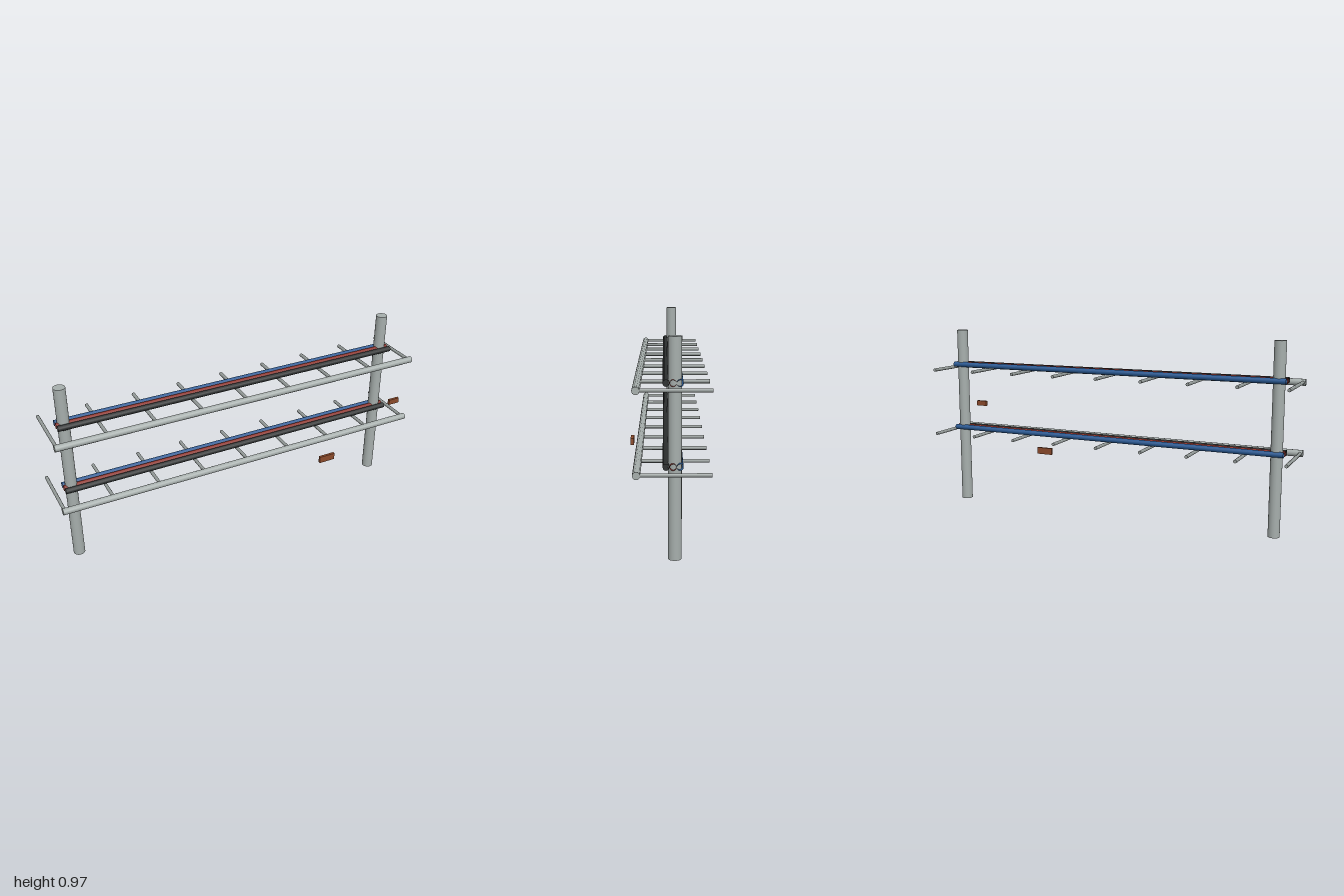
import * as THREE from 'three';

const mat = (color, side = THREE.FrontSide) => new THREE.MeshStandardMaterial({ color, side });

export function createModel() {
  const model = new THREE.Group();
  const steel = mat(0xa6aeac);
  const rungSteel = mat(0x979e9c);
  const tagBrown = mat(0x8b4a2b);

  function add(parent, name, geometry, material, x, y, z) {
    const mesh = new THREE.Mesh(geometry, material);
    mesh.name = name;
    mesh.position.set(x, y, z);
    parent.add(mesh);
  }

  // Upright posts
  const postGeo = new THREE.CylinderGeometry(0.03, 0.03, 0.973, 16);
  for (const [name, x] of [['rightPost', -0.905], ['leftPost', 0.902]]) {
    add(model, name, postGeo, steel, x, 0.4865, -0.014);
  }

  // Shared tray geometries: front rail, cross rungs and open-ended cables
  const railGeo = new THREE.CylinderGeometry(0.0175, 0.0175, 2, 10).rotateZ(Math.PI / 2);
  const rungGeo = new THREE.CylinderGeometry(0.009, 0.009, 0.317, 8).rotateX(Math.PI / 2);
  const cableGeo = new THREE.CylinderGeometry(0.0145, 0.0145, 1.89, 12, 1, true).rotateZ(Math.PI / 2);
  const cables = [
    ['blueCable', 0x2a5a94, -0.036],
    ['redCable', 0x8c2f26, -0.006],
    ['blackCable', 0x2b2e2e, 0.024],
  ].map(([name, color, z]) => [name, mat(color, THREE.DoubleSide), z]);

  // Two identical cable trays
  for (const [name, y] of [['lowerTray', 0.398], ['upperTray', 0.757]]) {
    const tray = new THREE.Group();
    tray.name = name;
    tray.position.y = y;
    add(tray, 'frontRail', railGeo, steel, 0, 0, 0.149);
    for (let i = -4; i <= 4; i++) {
      add(tray, 'rung', rungGeo, rungSteel, i * 0.247, 0, -0.0115);
    }
    for (const [cable, material, z] of cables) {
      add(tray, cable, cableGeo, material, 0, 0.0225, z);
    }
    model.add(tray);
  }

  // Small marker tags
  add(model, 'lowerTag', new THREE.BoxGeometry(0.092, 0.037, 0.014), tagBrown, 0.482, 0.277, 0.166);
  add(model, 'upperTag', new THREE.BoxGeometry(0.063, 0.029, 0.014), tagBrown, 0.901, 0.53, 0.166);

  return model;
}
